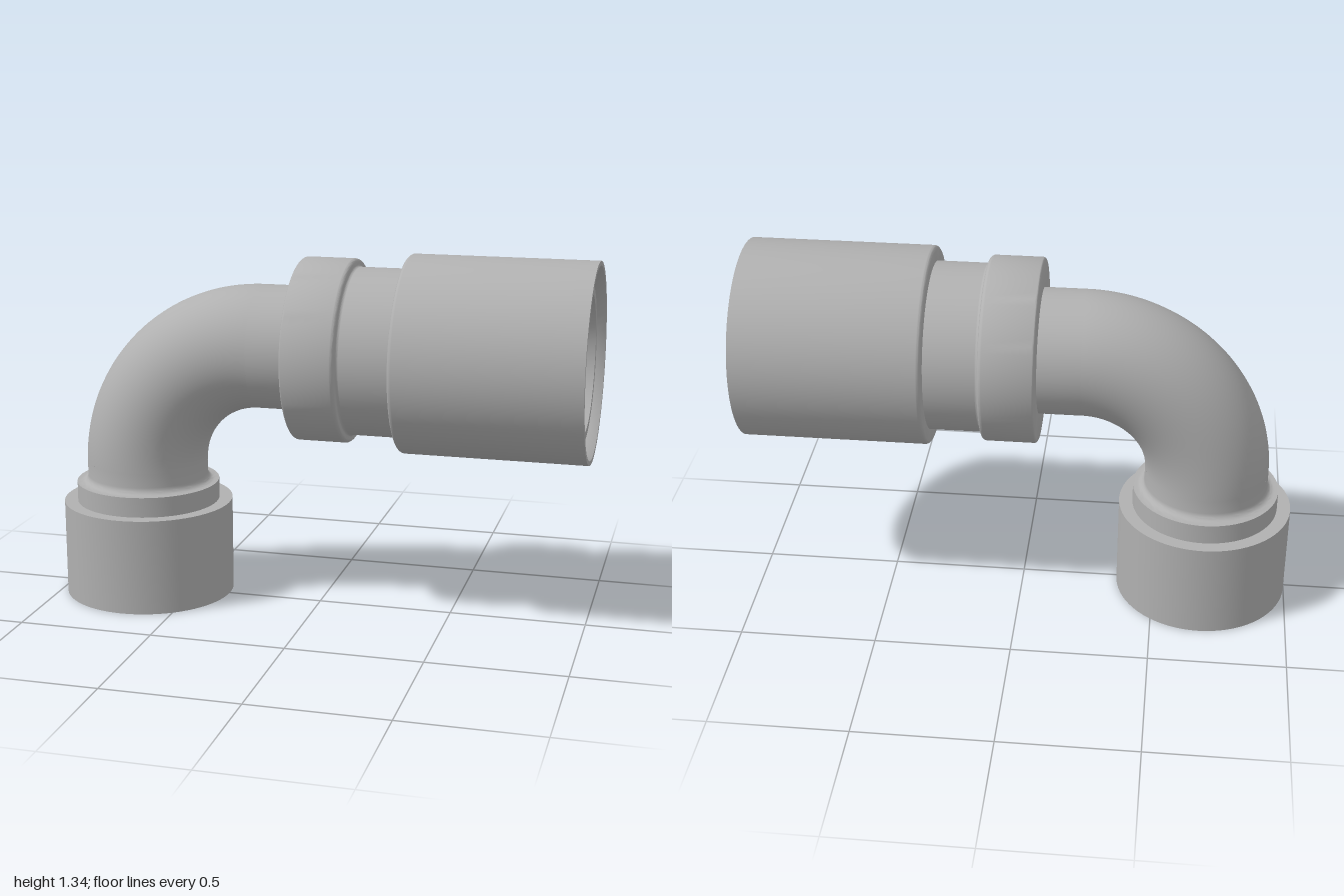
import * as THREE from 'three';
import { toCreasedNormals } from 'three/addons/utils/BufferGeometryUtils.js';

const PIPE = 0.228, BORE = 0.19;          // pipe outer and inner radius
const BEND = 0.46, BX = -0.22, BY = 0.515; // bend radius and its centre
const AXIS_X = BX - BEND, AXIS_Y = BY + BEND;

const steel = new THREE.MeshStandardMaterial({ color: 0xb0b0b0, side: THREE.DoubleSide });
steel.name = 'grey steel';

// Quarter round from (r0, h0) to (r1, h1); leaves along the radius or along the axis
function round(r0, h0, r1, h1, radialFirst, steps = 6) {
  const pts = [];
  for (let i = 0; i <= steps; i++) {
    const a = (i / steps) * Math.PI / 2, s = Math.sin(a), c = 1 - Math.cos(a);
    pts.push([r0 + (r1 - r0) * (radialFirst ? s : c), h0 + (h1 - h0) * (radialFirst ? c : s)]);
  }
  return pts;
}

// Turned part: profile of [radius, height], outside upward and inside downward
function turned(name, profile) {
  const geo = new THREE.LatheGeometry(profile.map(([r, h]) => new THREE.Vector2(r, h)), 72);
  const mesh = new THREE.Mesh(toCreasedNormals(geo, 0.5), steel);
  mesh.name = name;
  return mesh;
}

// Quarter torus for the elbow
function bend(name, radius) {
  const geo = new THREE.TorusGeometry(BEND, radius, 64, 48, Math.PI / 2);
  geo.rotateZ(Math.PI / 2).translate(BX, BY, 0);
  const mesh = new THREE.Mesh(geo, steel);
  mesh.name = name;
  return mesh;
}

export function createModel() {
  const model = new THREE.Group();
  model.name = 'elbowFitting';

  // Curved pipe
  model.add(bend('elbowOuter', PIPE), bend('elbowBore', BORE));

  // Lower end, standing on the ground
  const lower = new THREE.Group();
  lower.name = 'lowerEnd';
  lower.position.x = AXIS_X;
  lower.add(
    turned('lowerSocket', [
      [BORE, 0.17], [0.31, 0.17], [0.31, 0], [0.32, 0], [0.32, 0.36], [0.27, 0.36],
    ]),
    turned('lowerCollar', [
      [0.27, 0.36], [0.27, 0.435], [0.254, 0.435],
      ...round(0.254, 0.435, PIPE, 0.461, true), [PIPE, BY],
    ]),
    turned('lowerBore', [[BORE, BY], [BORE, 0.17]]),
  );
  model.add(lower);

  // Side end, its axis laid along +x
  const side = new THREE.Group();
  side.name = 'sideEnd';
  side.position.y = AXIS_Y;
  side.rotation.z = -Math.PI / 2;
  side.add(
    turned('straightPipe', [[PIPE, BX], [PIPE, -0.065]]),
    turned('collar', [
      [PIPE, -0.065], ...round(0.325, -0.065, 0.335, -0.055, true),
      ...round(0.335, 0.117, 0.32, 0.132, false), ...round(0.315, 0.132, 0.305, 0.142, true),
    ]),
    turned('neck', [[0.305, 0.142], [0.305, 0.325]]),
    turned('nut', [
      [0.305, 0.325], ...round(0.345, 0.325, 0.36, 0.34, true),
      [0.36, 1], [0.343, 1], [0.322, 0.96], [0.322, 0.88], [0.293, 0.88],
    ]),
    turned('coneSeat', [
      [0.293, 0.88], [0.293, 0.955], ...round(0.293, 0.955, 0.275, 0.973, false),
      [0.247, 0.973], [BORE, 0.7],
    ]),
    turned('sideBore', [[BORE, 0.7], [BORE, BX]]),
  );
  model.add(side);
  return model;
}
